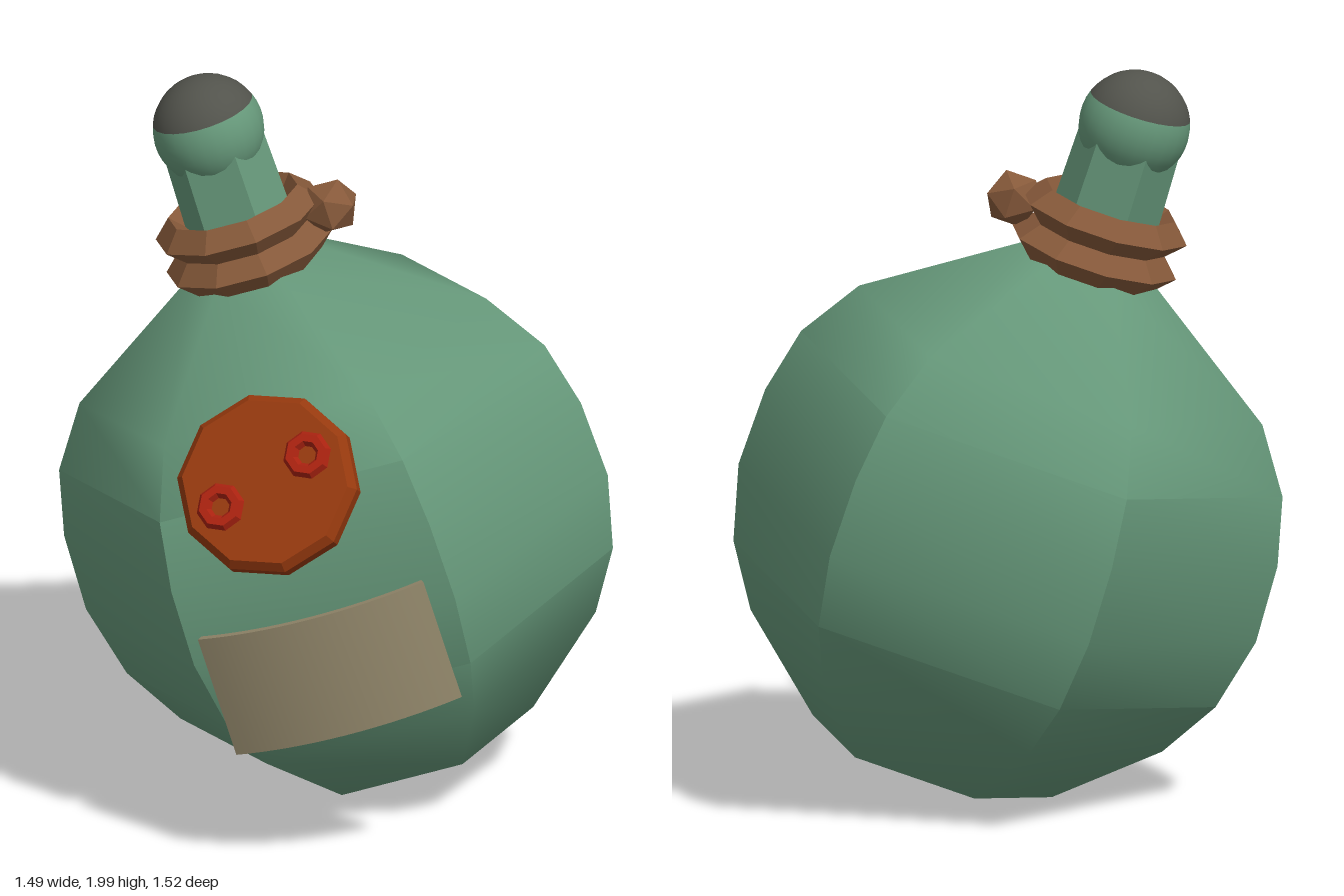
import * as THREE from 'three';
import { toCreasedNormals } from 'three/addons/utils/BufferGeometryUtils.js';

const TILT = 0.305;

function material(name, color, flatShading = false) {
  const m = new THREE.MeshStandardMaterial({ color, flatShading });
  m.name = name;
  return m;
}

function add(parent, name, geometry, mat, x = 0, y = 0, z = 0) {
  const mesh = new THREE.Mesh(geometry, mat);
  mesh.name = name;
  mesh.position.set(x, y, z);
  parent.add(mesh);
  return mesh;
}

const lathe = (points, sides, start = 0) =>
  new THREE.LatheGeometry(points.map(([r, y]) => new THREE.Vector2(r, y)), sides, start);

export function createModel() {
  const glass = material('greenGlass', 0x66987a);
  const dark = material('darkStopper', 0x52534c);
  const rope = material('brownRope', 0x86593a, true);
  const wax = material('orangeWax', 0x96390e, true);
  const red = material('redWax', 0xab2210, true);
  const paper = material('paper', 0x91866a);

  const model = new THREE.Group();
  model.name = 'bottle';

  // everything leans together about the centre of the base
  const bottle = new THREE.Group();
  bottle.name = 'leaningBottle';
  bottle.position.set(0.205, 0.11, -0.11);
  bottle.rotation.z = TILT;
  model.add(bottle);

  // six-sided body, corners to left and right
  const body = lathe([
    [0, 0], [0.34, 0], [0.585, 0.218], [0.685, 0.382], [0.735, 0.587],
    [0.728, 0.805], [0.684, 0.99], [0.573, 1.16], [0.17, 1.435], [0, 1.45],
  ], 6, Math.PI / 2);
  add(bottle, 'body', toCreasedNormals(body, 0.96), glass);

  // neck and round head with a dark top
  const neck = new THREE.CylinderGeometry(0.14, 0.15, 0.4, 6, 1, true, Math.PI / 2);
  add(bottle, 'neck', toCreasedNormals(neck, 0.6), glass, 0, 1.59);
  const split = 1.2;
  add(bottle, 'head', new THREE.SphereGeometry(0.15, 24, 12, 0, Math.PI * 2, split, Math.PI - split),
    glass, 0, 1.825);
  add(bottle, 'stopper', new THREE.SphereGeometry(0.15, 24, 8, 0, Math.PI * 2, 0, split),
    dark, 0, 1.825);

  // two rope loops and a bead
  for (const y of [1.46, 1.558]) {
    const loop = add(bottle, 'ropeLoop', new THREE.TorusGeometry(0.182, 0.051, 4, 10), rope, 0, y);
    loop.rotation.x = Math.PI / 2;
  }
  add(bottle, 'bead', new THREE.IcosahedronGeometry(0.08, 0), rope, 0.249, 1.526);

  // wax seal tipped upwards, with two small rings
  const seal = new THREE.Group();
  seal.name = 'seal';
  seal.position.set(0, 1.061, 0.715);
  seal.rotation.x = -0.61;
  bottle.add(seal);
  const disc = add(seal, 'sealDisc', lathe([
    [0, -0.045], [0.215, -0.045], [0.25, -0.02], [0.25, 0.02], [0.23, 0.045], [0, 0.045],
  ], 10), wax);
  disc.rotation.x = Math.PI / 2;
  for (const s of [-1, 1]) {
    add(seal, 'sealRing', new THREE.TorusGeometry(0.046, 0.021, 6, 8), red, s * 0.13, s * 0.04, 0.055);
  }

  // curved paper label standing off the front
  const R = 0.81, half = 0.403, mid = Math.PI / 2;
  const arc = new THREE.Shape();
  arc.absarc(0, 0, R, mid - half, mid + half, false);
  arc.absarc(0, 0, R - 0.02, mid + half, mid - half, true);
  const sheet = new THREE.ExtrudeGeometry(arc, { depth: 0.345, bevelEnabled: false, curveSegments: 8 });
  sheet.rotateX(Math.PI / 2);
  add(bottle, 'label', toCreasedNormals(sheet, 0.5), paper, 0, 0.514 + 0.1725, -0.025);

  return model;
}
